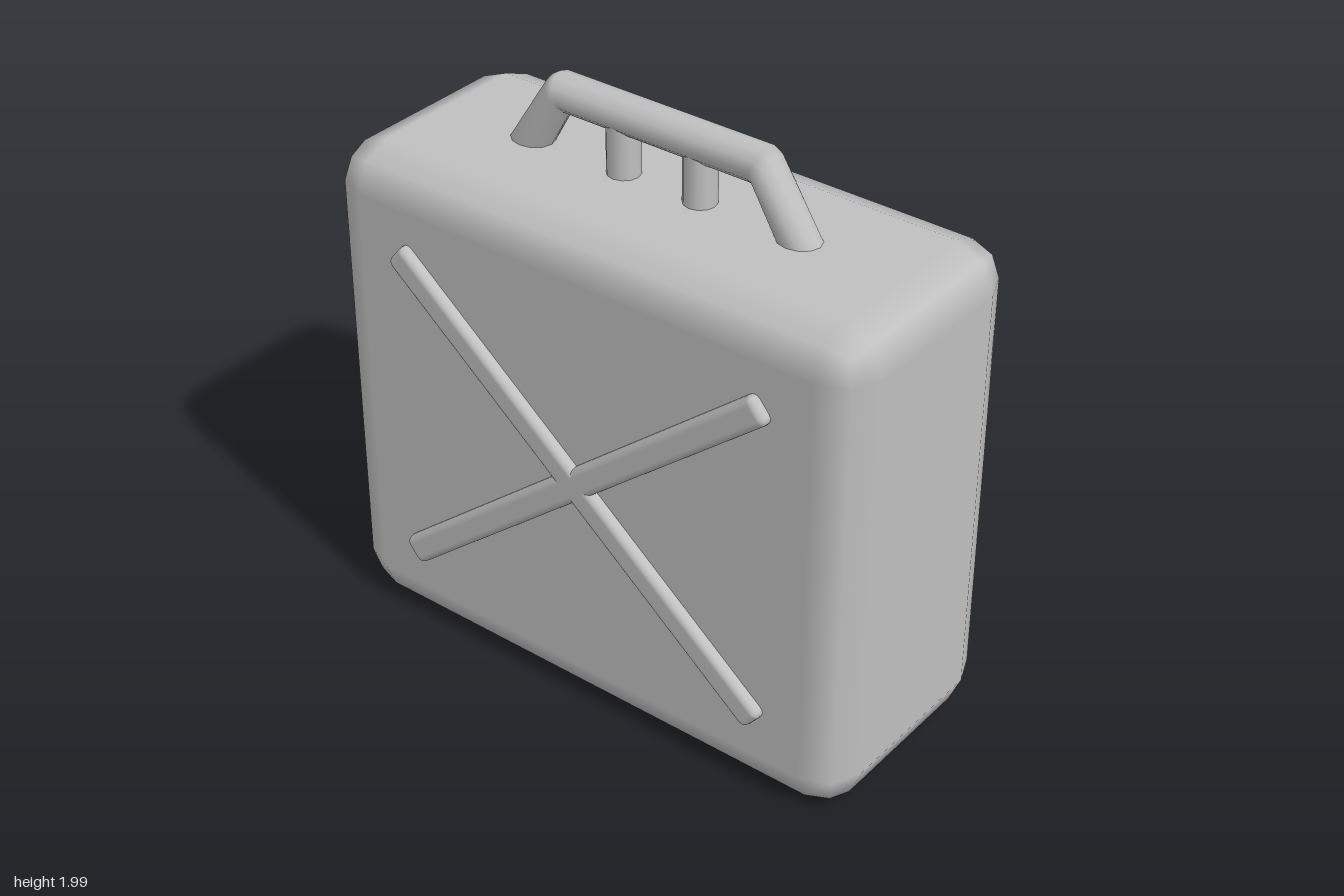
import * as THREE from 'three';
import { RoundedBoxGeometry } from 'three/addons/geometries/RoundedBoxGeometry.js';

const grey = new THREE.MeshStandardMaterial({ color: 0xc0c0c0 });
grey.name = 'grey';

function addPart(parent, name, geometry, x, y, z) {
  const mesh = new THREE.Mesh(geometry, grey);
  mesh.name = name;
  mesh.position.set(x, y, z);
  parent.add(mesh);
  return mesh;
}

// Round bar lofted through rings, each given as inner and outer [z, y] points
function loftBar(rings, radius, sides) {
  const positions = [];
  const index = [];
  for (const [inner, outer] of rings) {
    const cz = (inner[0] + outer[0]) / 2, cy = (inner[1] + outer[1]) / 2;
    const hz = (outer[0] - inner[0]) / 2, hy = (outer[1] - inner[1]) / 2;
    for (let i = 0; i < sides; i++) {
      const a = (i / sides) * Math.PI * 2;
      positions.push(Math.sin(a) * radius, cy + Math.cos(a) * hy, cz + Math.cos(a) * hz);
    }
  }
  for (let r = 0; r < rings.length - 1; r++) {
    for (let i = 0; i < sides; i++) {
      const j = (i + 1) % sides;
      const a = r * sides + i, b = r * sides + j;
      const c = a + sides, d = b + sides;
      index.push(a, b, c, b, d, c);
    }
  }
  const geometry = new THREE.BufferGeometry();
  geometry.setAttribute('position', new THREE.Float32BufferAttribute(positions, 3));
  geometry.setIndex(index);
  geometry.computeVertexNormals();
  return geometry;
}

export function createModel() {
  const model = new THREE.Group();
  model.name = 'fuelCan';

  // Body with two-step rounded edges
  addPart(model, 'body', new RoundedBoxGeometry(0.84, 1.72, 2, 1, 0.14), 0, 0.86, 0);

  // Crossed ribs on both flanks
  const rib = new RoundedBoxGeometry(0.1, 0.1, 1.81, 2, 0.025);
  for (const side of [1, -1]) {
    const cross = new THREE.Group();
    cross.name = side > 0 ? 'leftCross' : 'rightCross';
    for (const tilt of [1, -1]) {
      const bar = addPart(cross, 'crossRib', rib, side * 0.405, 0.865, 0);
      bar.rotation.x = tilt * 0.688;
    }
    model.add(cross);
  }

  // Carrying handle: slanted legs with bevelled bends, front to back
  const half = [
    [[0.453, 1.68], [0.607, 1.68]],
    [[0.352, 1.86], [0.422, 1.965]],
    [[0.344, 1.86], [0.39, 1.985]],
  ];
  const mirrored = half.map((ring) => ring.map(([z, y]) => [-z, y])).reverse();
  addPart(model, 'handle', loftBar([...half, ...mirrored], 0.065, 12), 0, 0, 0);

  // Posts under the handle
  const post = new THREE.CylinderGeometry(0.055, 0.055, 0.24, 12);
  for (const z of [0.145, -0.145]) addPart(model, 'handlePost', post, 0, 1.8, z);

  return model;
}
